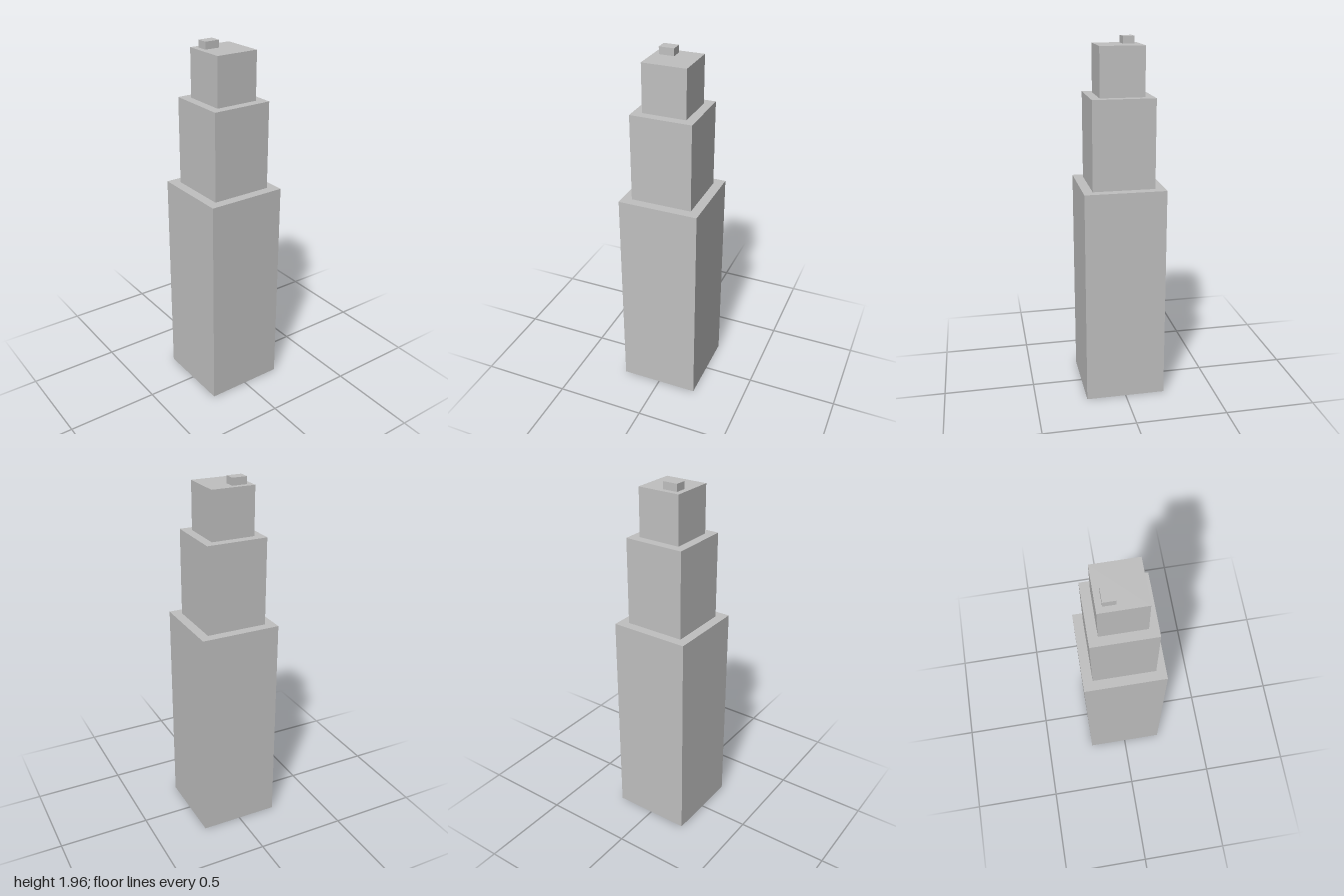
import * as THREE from 'three';

// Box without its underside, standing on y0
function openBox(w, h, d) {
  const geo = new THREE.BoxGeometry(w, h, d);
  const index = Array.from(geo.index.array);
  index.splice(18, 6); // the fourth face is the underside
  geo.setIndex(index);
  geo.clearGroups();
  return geo;
}

export function createModel() {
  const group = new THREE.Group();
  group.name = 'steppedTower';
  const concrete = new THREE.MeshStandardMaterial({ color: 0xc0c0c0, side: THREE.DoubleSide });
  concrete.name = 'concreteGrey';

  // name, width, depth, bottom, top, x, z
  const blocks = [
    ['lowerTier', 0.438, 0.438, 0, 1.183, 0, 0],
    ['middleTier', 0.334, 0.334, 1.183, 1.659, 0, 0],
    ['upperTier', 0.238, 0.238, 1.659, 1.918, 0, 0],
    ['roofUnit', 0.082, 0.062, 1.918, 1.957, -0.048, -0.058],
  ];
  for (const [name, w, d, y0, y1, x, z] of blocks) {
    const mesh = new THREE.Mesh(openBox(w, y1 - y0, d), concrete);
    mesh.name = name;
    mesh.position.set(x, (y0 + y1) / 2, z);
    group.add(mesh);
  }
  return group;
}
